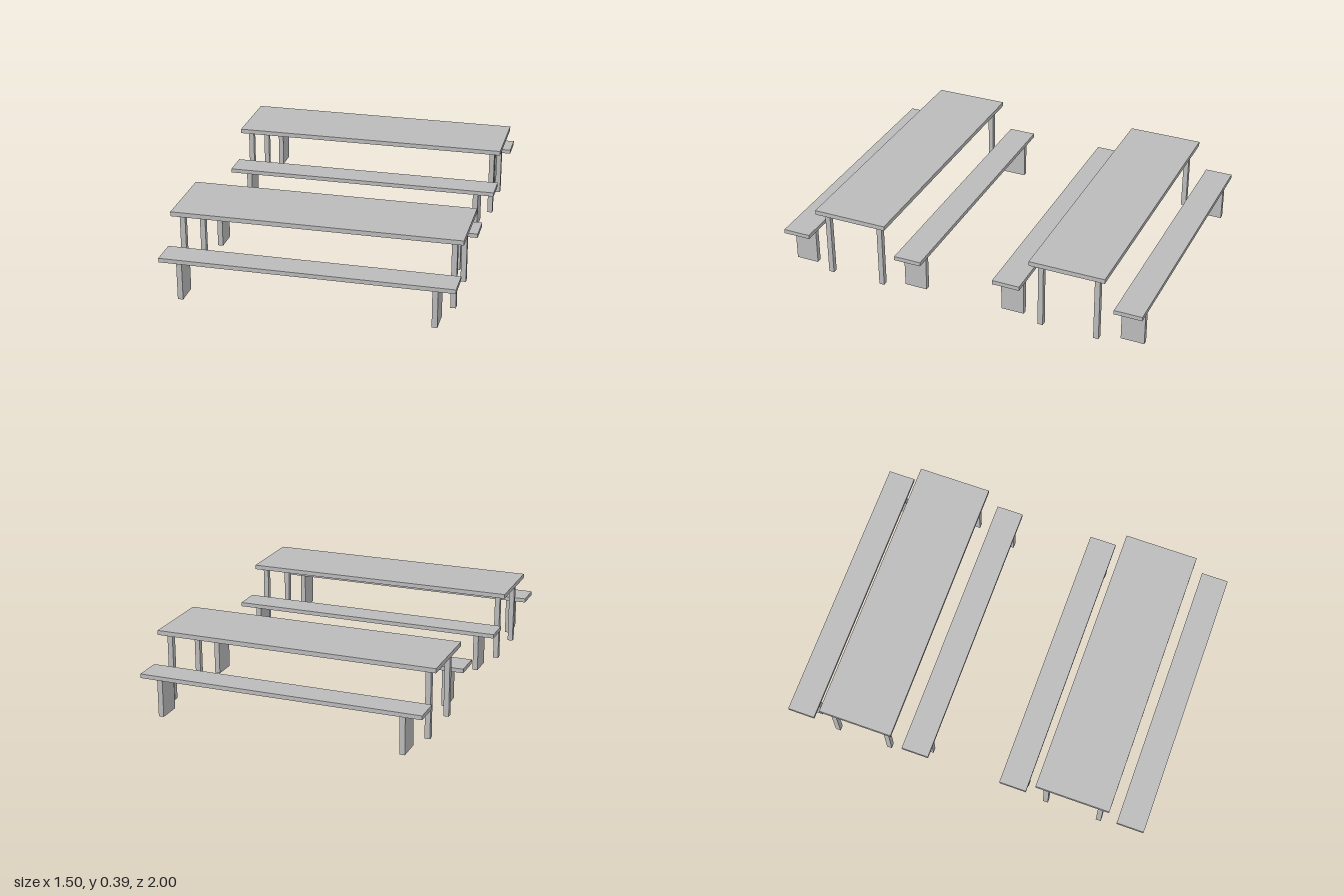
import * as THREE from 'three';

export function createModel() {
  const model = new THREE.Group();
  model.name = 'picnicTables';
  const grey = new THREE.MeshStandardMaterial({ color: 0xbbbbbb });
  grey.name = 'grey';

  // Box standing on height y, centred on x and z
  function addBox(parent, name, w, h, d, x, y, z) {
    const mesh = new THREE.Mesh(new THREE.BoxGeometry(w, h, d), grey);
    mesh.name = name;
    mesh.position.set(x, y + h / 2, z);
    parent.add(mesh);
  }

  // Table: thin top on four square posts
  function makeTable() {
    const table = new THREE.Group();
    table.name = 'table';
    addBox(table, 'tableTop', 1.496, 0.024, 0.4, 0, 0.364, 0);
    for (const sx of [-1, 1])
      for (const sz of [-1, 1])
        addBox(table, 'tableLeg', 0.028, 0.364, 0.028, sx * 0.698, 0, sz * 0.15);
    return table;
  }

  // Bench: plank on two upright panels
  function makeBench() {
    const bench = new THREE.Group();
    bench.name = 'bench';
    addBox(bench, 'benchSeat', 1.496, 0.022, 0.148, 0, 0.2, 0);
    for (const sx of [-1, 1])
      addBox(bench, 'benchLeg', 0.028, 0.2, 0.124, sx * 0.646, 0, 0);
    return bench;
  }

  // Two sets, each a table between two benches
  for (const side of [-1, 1]) {
    const set = new THREE.Group();
    set.name = side > 0 ? 'frontSet' : 'backSet';
    set.position.z = side * 0.6;
    set.add(makeTable());
    for (const s of [-1, 1]) {
      const bench = makeBench();
      bench.position.z = s * 0.325;
      set.add(bench);
    }
    model.add(set);
  }
  return model;
}
